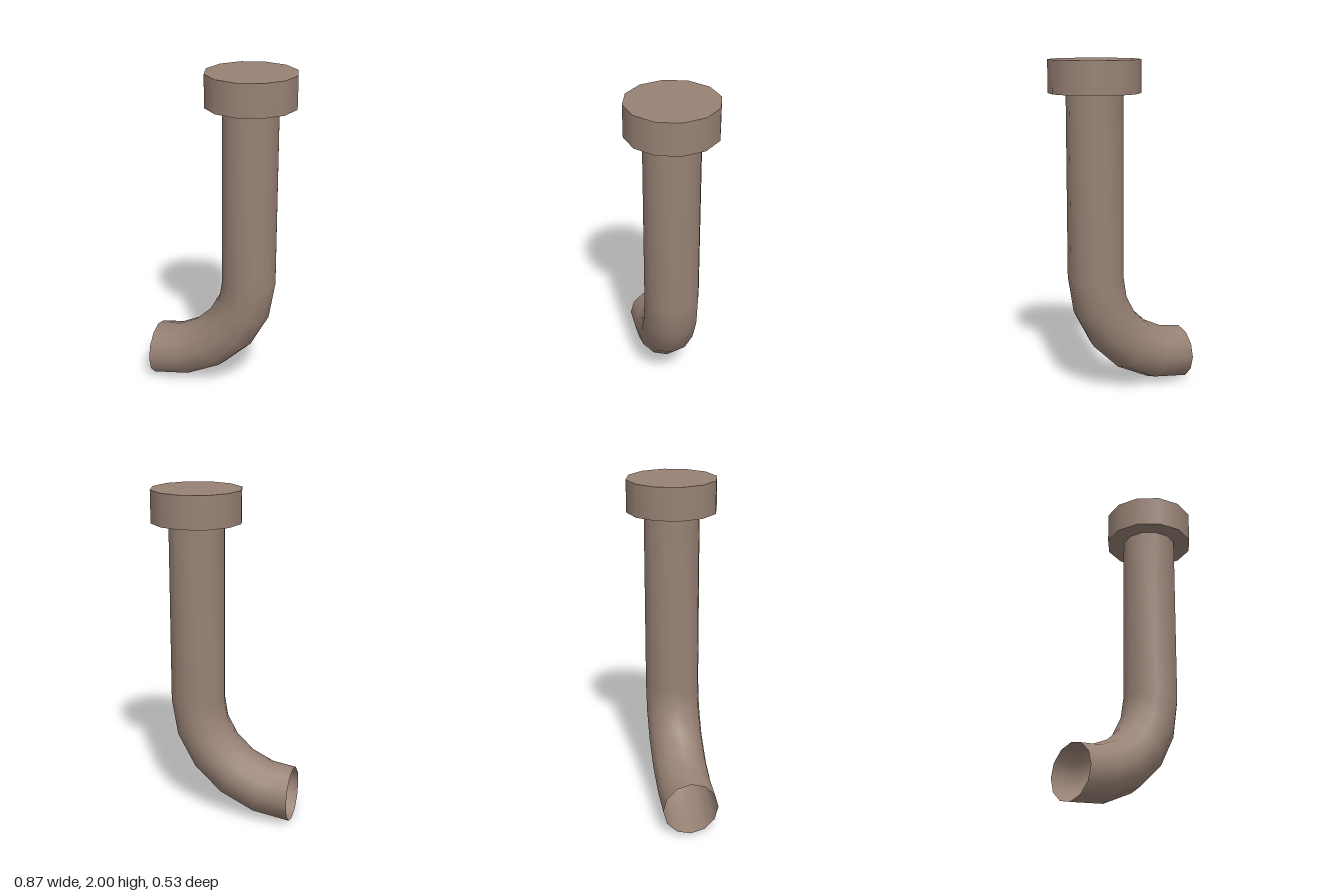
import * as THREE from 'three';

const SIDES = 12;
const RADIUS = 0.165;

// Sweeps a ring along stations { x, y, nx, ny }, n being the ring's in-plane outward direction
function sweepPipe(stations) {
  const positions = [];
  const indices = [];
  stations.forEach(({ x, y, nx, ny }) => {
    for (let j = 0; j < SIDES; j++) {
      const a = (j / SIDES) * Math.PI * 2;
      const r = RADIUS * Math.cos(a);
      positions.push(x + nx * r, y + ny * r, RADIUS * Math.sin(a));
    }
  });
  for (let i = 0; i < stations.length - 1; i++) {
    for (let j = 0; j < SIDES; j++) {
      const k = (j + 1) % SIDES;
      const a = i * SIDES + j, b = i * SIDES + k;
      const c = a + SIDES, d = b + SIDES;
      indices.push(a, b, c, b, d, c);
    }
  }
  const geometry = new THREE.BufferGeometry();
  geometry.setAttribute('position', new THREE.Float32BufferAttribute(positions, 3));
  geometry.setIndex(indices);
  geometry.computeVertexNormals();
  return geometry;
}

export function createModel() {
  const group = new THREE.Group();
  group.name = 'bentPipe';
  const brown = new THREE.MeshStandardMaterial({ color: 0x988275, side: THREE.DoubleSide });
  brown.name = 'brown';

  // Straight shaft, then an elliptical quarter bend towards -x, open at its end
  const rx = 0.6, ry = 0.565, bendY = 0.73, bendX = -0.435;
  const stations = [{ x: bendX + rx, y: 1.82, nx: 1, ny: 0 }];
  for (let i = 0; i <= 5; i++) {
    const t = (i / 5) * Math.PI / 2;
    const n = new THREE.Vector2(Math.cos(t) / rx, -Math.sin(t) / ry).normalize();
    stations.push({
      x: bendX + rx * Math.cos(t),
      y: bendY - ry * Math.sin(t),
      nx: n.x,
      ny: n.y,
    });
  }
  const pipe = new THREE.Mesh(sweepPipe(stations), brown);
  pipe.name = 'pipe';
  group.add(pipe);

  // Wide cap on top
  const cap = new THREE.Mesh(new THREE.CylinderGeometry(0.267, 0.267, 0.19, SIDES), brown);
  cap.name = 'cap';
  cap.position.set(bendX + rx, 1.905, 0);
  group.add(cap);

  return group;
}
